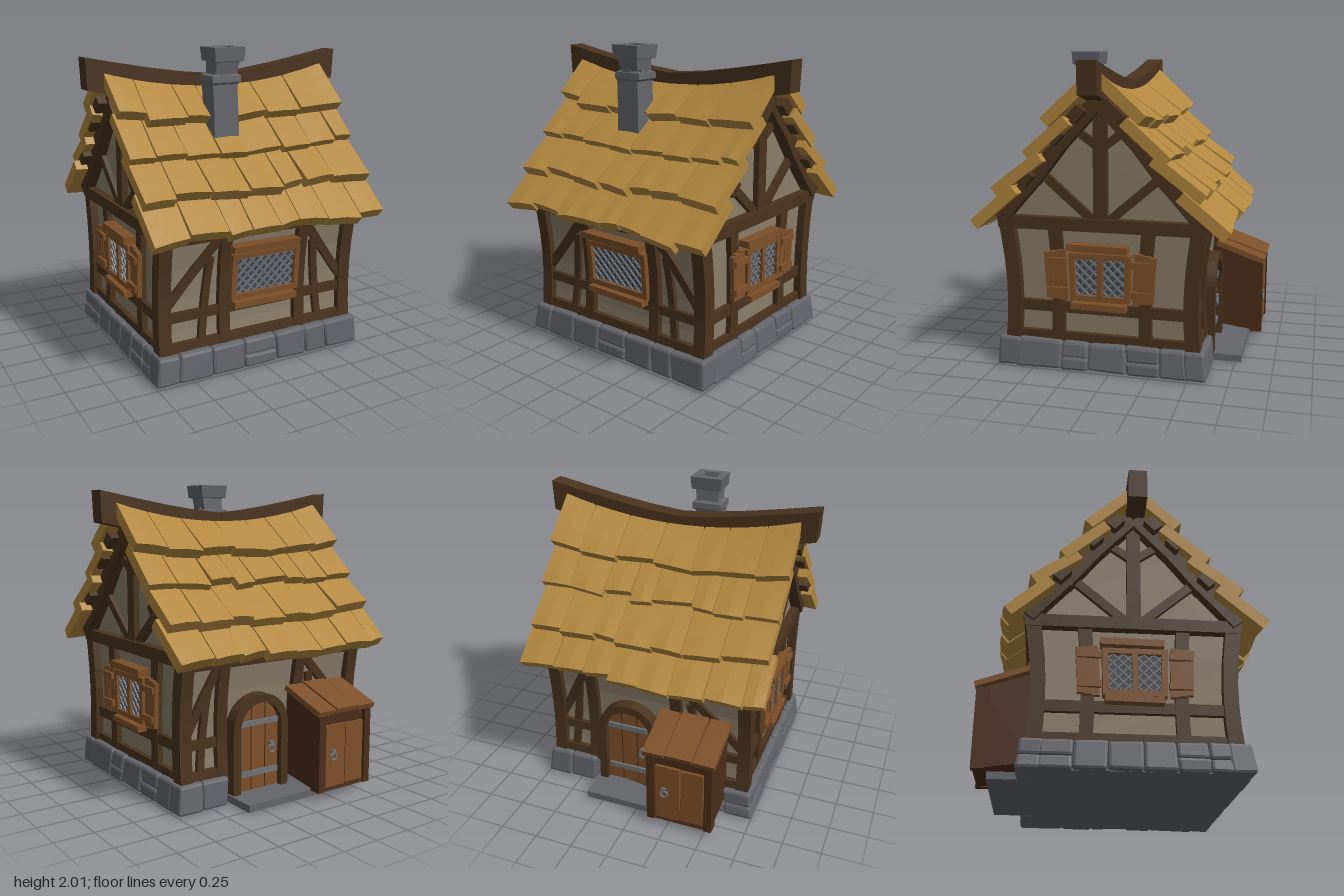
import * as THREE from 'three';
import { mergeGeometries } from 'three/addons/utils/BufferGeometryUtils.js';
import { RoundedBoxGeometry } from 'three/addons/geometries/RoundedBoxGeometry.js';

const CZ = 0.06; // centre line of the house in z
const mat = (color) => new THREE.MeshStandardMaterial({ color, flatShading: true, side: THREE.DoubleSide });
const M = {
  timber: mat(0x49331f), wood: mat(0x7d5029), darkWood: mat(0x4b2d1a), plaster: mat(0x8a7d69),
  stone: mat(0x63656a), thatch: mat(0xb2873f), iron: mat(0x6f7378), pane: mat(0x42464b),
};
let seed = 7;
const rnd = (a = 0, b = 1) => { seed = (seed * 16807) % 2147483647; return a + (b - a) * seed / 2147483647; };
const lerp = THREE.MathUtils.lerp;

function add(parent, name, material, geos) {
  const list = [].concat(geos).map((g) => (g.index ? g.toNonIndexed() : g));
  const mesh = new THREE.Mesh(mergeGeometries(list), material);
  mesh.geometry.computeVertexNormals();
  mesh.name = name;
  parent.add(mesh);
}
function mapVerts(g, fn) {
  const p = g.attributes.position, v = new THREE.Vector3();
  for (let i = 0; i < p.count; i++) { fn(v.fromBufferAttribute(p, i)); p.setXYZ(i, v.x, v.y, v.z); }
  return g;
}
const box = (x0, x1, y0, y1, z0, z1) =>
  new THREE.BoxGeometry(x1 - x0, y1 - y0, z1 - z0).translate((x0 + x1) / 2, (y0 + y1) / 2, (z0 + z1) / 2);
// walls pinch in at mid height and lean out towards the eaves
const warp = (g) => mapVerts(g, (v) => {
  const y = Math.min(v.y, 0.95);
  v.z += (v.z - CZ) * 0.36 * (y - 0.45) ** 2;
});
// straight timber between two points of a wall plane
const beam = (u1, v1, u2, v2, w, t, out = 0) =>
  new THREE.BoxGeometry(w, Math.hypot(u2 - u1, v2 - v1), t, 1, 6, 1)
    .rotateZ(-Math.atan2(u2 - u1, v2 - v1)).translate((u1 + u2) / 2, (v1 + v2) / 2, out);
// wall planes: front, back, and the two gables
const faces = {
  front: (g) => warp(g.translate(0, 0, 0.585 + CZ)),
  back: (g) => warp(g.rotateY(Math.PI).translate(0, 0, CZ - 0.585)),
  left: (g) => warp(g.rotateY(Math.PI / 2).translate(0.665, 0, CZ)),
  right: (g) => warp(g.rotateY(-Math.PI / 2).translate(-0.665, 0, CZ)),
};
// diagonal leading, clipped to a rectangle
function lattice(u0, u1, v0, v1, step, out) {
  const bars = [], h = v1 - v0;
  for (let c = u0 - h + step / 2; c < u1; c += step) {
    const a = Math.max(u0, c), b = Math.min(u1, c + h);
    if (b - a < 0.02) continue;
    bars.push(beam(a, v0 + a - c, b, v0 + b - c, 0.011, 0.012, out));
    bars.push(beam(a, v1 - (a - c), b, v1 - (b - c), 0.011, 0.012, out + 0.006));
  }
  return bars;
}

function buildWalls(g) {
  const half = [[0.575, 0.1], [0.575, 0.3], [0.575, 0.5], [0.575, 0.7], [0.575, 0.95], [0.54, 1.06], [0.4, 1.25], [0.22, 1.46]];
  const pts = [...half, [0, 1.66], ...half.map(([d, y]) => [-d, y]).reverse()].map(([d, y]) => new THREE.Vector2(d, y));
  add(g, 'plasterWalls', M.plaster, warp(new THREE.ExtrudeGeometry(new THREE.Shape(pts), { depth: 1.31, bevelEnabled: false })
    .rotateY(Math.PI / 2).translate(-0.655, 0, CZ)));
  const posts = [];
  for (const x of [-1, 1]) for (const s of [-1, 1])
    posts.push(warp(new THREE.BoxGeometry(0.085, 0.82, 0.09, 1, 6, 1).translate(x * 0.667, 0.56, CZ + s * 0.572)));
  add(g, 'cornerPosts', M.timber, posts);

  // long walls
  for (const name of ['front', 'back']) {
    const t = [beam(-0.66, 0.91, 0.66, 0.91, 0.08, 0.06)];
    const p = name === 'front' ? [-0.255, 0.305] : [-0.4, 0.2];
    if (name === 'front') t.push(beam(-0.65, 0.205, 0.65, 0.205, 0.06, 0.05), beam(-0.25, 0.4, 0.3, 0.4, 0.06, 0.045));
    p.forEach((u, i) => {
      const s = i ? 1 : -1;
      t.push(beam(u, 0.16, u, 0.9, 0.075, 0.06), beam(u, 0.4, s * 0.65, 0.4, 0.06, 0.045),
        beam(u, 0.205, s * 0.65, 0.205, 0.06, 0.05),
        beam(u + s * 0.03, 0.89, s * 0.64, 0.48, 0.055, 0.04), beam(u + s * 0.16, 0.2, u + s * 0.1, 0.76, 0.05, 0.035));
    });
    add(g, name + 'Timbers', M.timber, t.map(faces[name]));
  }

  // gable walls with rafters, king post and struts
  for (const name of ['left', 'right']) {
    const t = [beam(-0.62, 0.94, 0.62, 0.94, 0.08, 0.08, 0.01), beam(-0.56, 0.395, 0.56, 0.395, 0.07, 0.045),
      beam(-0.56, 0.2, 0.56, 0.2, 0.06, 0.05), beam(0, 0.96, 0, 1.7, 0.08, 0.06)];
    for (const s of [-1, 1]) {
      t.push(beam(s * 0.28, 0.18, s * 0.28, 0.92, 0.08, 0.055), beam(s * 0.05, 0.97, s * 0.37, 1.27, 0.055, 0.045),
        beam(s * 0.01, 1.42, s * 0.15, 1.53, 0.05, 0.04),
        beam(s * 0.01, 1.7, s * 0.22, 1.45, 0.09, 0.1, 0.02), beam(s * 0.2, 1.48, s * 0.4, 1.2, 0.09, 0.1, 0.02),
        beam(s * 0.385, 1.225, s * 0.6, 0.96, 0.09, 0.1, 0.02));
      for (const [d, y] of [[0.415, 1.23], [0.235, 1.49], [0.11, 1.63]])
        t.push(beam(s * (d - 0.03), y + 0.035, s * (d + 0.03), y - 0.035, 0.065, 0.2, 0.03));
    }
    add(g, name + 'GableTimbers', M.timber, t.map(faces[name]));
  }
}

function buildWindows(g) {
  for (const name of ['left', 'right', 'front']) {
    const w = new THREE.Group(), f = faces[name], side = name !== 'front';
    w.name = name + 'Window';
    const a = side ? -0.19 : -0.22, b = side ? 0.19 : 0.27;
    const frame = [beam(a - 0.01, 0.8, b - 0.02, 0.795, 0.045, 0.08, 0.04), beam(a + 0.01, 0.43, b - 0.02, 0.425, 0.04, 0.09, 0.04),
      beam(a, 0.745, b, 0.745, 0.035, 0.06, 0.03), beam(a, 0.475, b, 0.475, 0.035, 0.06, 0.03),
      beam(a + 0.015, 0.46, a + 0.015, 0.76, 0.035, 0.065, 0.03), beam(b - 0.015, 0.46, b - 0.015, 0.76, 0.035, 0.065, 0.03)];
    if (side) frame.push(beam(0, 0.47, 0, 0.75, 0.035, 0.06, 0.03));
    add(w, 'frame', M.wood, frame.map(f));
    add(w, 'pane', M.pane, f(beam((a + b) / 2, 0.47, (a + b) / 2, 0.75, b - a, 0.03, 0.015)));
    const bars = side
      ? [...lattice(-0.16, -0.02, 0.49, 0.73, 0.06, 0.036), ...lattice(0.02, 0.16, 0.49, 0.73, 0.06, 0.036)]
      : lattice(a + 0.03, b - 0.03, 0.49, 0.73, 0.06, 0.036);
    add(w, 'leading', M.iron, bars.map(f));
    if (side) {
      const sh = [];
      for (const s of [-1, 1]) {
        [0.235, 0.285, 0.32].forEach((u, i) => sh.push(beam(s * u, 0.455 + i * 0.006, s * (u + 0.004), 0.775 - i * 0.008, 0.05, 0.03, 0.04 + i * 0.004)));
        for (const v of [0.52, 0.71]) sh.push(beam(s * 0.2, v, s * 0.34, v, 0.04, 0.025, 0.065));
      }
      add(w, 'shutters', M.wood, sh.map(f));
    }
    g.add(w);
  }
}

function buildFoundation(g) {
  const stones = [], taper = (q) => mapVerts(q, (v) => { const k = 1 - 0.16 * Math.max(0, v.y - 0.02); v.x *= k; v.z = CZ + (v.z - CZ) * k; });
  const stone = (x, y, z, sx, sy, sz) => {
    const q = new RoundedBoxGeometry(sx, sy, sz, 1, 0.018), a = rnd(-0.12, 0.12), b = rnd(-0.1, 0.1);
    mapVerts(q, (v) => { v.x *= 1 + a * v.y / sy; v.z *= 1 + a * v.y / sy; v.y *= 1 + b * (v.x / sx + v.z / sz); });
    stones.push(taper(q.translate(x, y, z)));
  };
  const run = (a, b, put, skip) => {
    for (let u = a; u < b - 0.02;) {
      let w = rnd(0.15, 0.26);
      if (b - u - w < 0.12) w = b - u;
      if (!skip || u + w < skip[0] || u > skip[1]) {
        if (rnd() < 0.4) { put(u + w / 2, 0.13, w, 0.1); put(u + w / 2, 0.04, w, 0.085); } else put(u + w / 2, 0.09, w, 0.18);
      }
      u += w;
    }
  };
  run(-0.75, 0.75, (u, y, w, h) => stone(u, y, 0.675, w, h, 0.15));
  run(-0.75, 0.75, (u, y, w, h) => stone(u, y, -0.55, w, h, 0.14), [-0.1, 0.34]);
  for (const s of [-1, 1]) run(-0.5, 0.62, (u, y, w, h) => stone(s * 0.675, y, u, 0.15, h, w));
  add(g, 'foundationStones', M.stone, stones);
  add(g, 'foundationCore', M.stone, [box(-0.71, 0.71, 0, 0.165, -0.53, 0.71), box(-0.5, 0.36, 0, 0.045, -0.79, -0.5)]);
}

function buildRoof(g) {
  // each row: d0, y0, d1, y1, sag at top, sag at bottom
  const rows = [[0.05, 1.87, 0.31, 1.62, 0.12, 0.055], [0.2, 1.62, 0.46, 1.39, 0.06, 0.025],
    [0.37, 1.4, 0.67, 1.175, 0.03, 0.01], [0.54, 1.19, 0.82, 0.945, 0.01, -0.015]];
  for (const s of [1, -1]) rows.forEach(([d0, y0, d1, y1, s0, s1], r) => {
    const tiles = [], len = Math.hypot(d1 - d0, y0 - y1), nd = (y0 - y1) / len, ny = (d1 - d0) / len, end = rnd(0.8, 0.825);
    for (let x = -end; x < end - 0.01;) {
      let w = rnd(0.15, 0.27);
      if (end - x - w < 0.13) w = end - x;
      const lift = rnd(-0.006, 0.012), ext = rnd(-0.03, 0.02), skew = rnd(-0.025, 0.025), flare = rnd(-0.008, 0.008), x0 = x;
      tiles.push(mapVerts(new THREE.BoxGeometry(1, 1, 1, 2, 3, 1), (v) => {
        const t = 0.5 - v.y, u = v.x + 0.5, k = t * (1 + (ext + skew * v.x) / len);
        const px = x0 + 0.003 + u * (w - 0.006) + v.x * flare * t * 2;
        const out = (v.z - 0.5) * 0.072 + lift * t + (v.z > 0 ? 0.008 * Math.sin(u * 3.14) * t : 0);
        const sag = lerp(s0, s1, t) * (1 - Math.min(1, (px / 0.82) ** 2));
        v.set(s * px, lerp(y0, y1, k) - sag + ny * out, CZ + s * (lerp(d0, d1, k) + nd * out));
      }));
      x += w;
    }
    add(g, (s > 0 ? 'front' : 'back') + 'RoofRow' + (r + 1), M.thatch, tiles);
  });
  add(g, 'ridgeBeam', M.timber, mapVerts(new THREE.BoxGeometry(1.82, 0.2, 0.12, 8, 1, 1), (v) => {
    const a = Math.abs(v.x);
    if (a > 0.9 && v.y > 0) v.x *= 1.01;
    v.y += 1.705 + 0.14 * (a / 0.91) ** 1.35;
    v.z += 0.07;
  }));
}

function buildChimney(g) {
  // square sections from bottom to rim and down into the flue: x, z, half x, half z, y
  const secs = [[-0.105, 0.345, 0.088, 0.085, 1.44], [-0.108, 0.35, 0.086, 0.075, 1.6], [-0.115, 0.345, 0.086, 0.075, 1.77],
    [-0.108, 0.345, 0.102, 0.085, 1.785], [-0.108, 0.345, 0.1, 0.083, 1.825], [-0.105, 0.35, 0.076, 0.065, 1.835],
    [-0.1, 0.36, 0.08, 0.07, 1.91], [-0.1, 0.36, 0.1, 0.093, 1.915], [-0.1, 0.358, 0.108, 0.1, 2],
    [-0.1, 0.358, 0.058, 0.05, 2], [-0.1, 0.358, 0.045, 0.038, 1.92], [-0.1, 0.358, 0, 0, 1.92]];
  const pos = [], idx = [], c = [[-1, 1], [1, 1], [1, -1], [-1, -1]];
  secs.forEach(([x, z, hx, hz, y], i) => c.forEach(([a, b], j) => {
    pos.push(x + a * hx, y, z + b * hz);
    if (i) { const p = (i - 1) * 4, k = (j + 1) % 4; idx.push(p + j, p + k, p + 4 + k, p + j, p + 4 + k, p + 4 + j); }
  }));
  const q = new THREE.BufferGeometry().setAttribute('position', new THREE.Float32BufferAttribute(pos, 3));
  q.setIndex(idx);
  add(g, 'chimney', M.stone, q);
  add(g, 'chimneyBricks', M.stone, [box(-0.15, -0.08, 1.79, 1.84, 0.4, 0.425), box(-0.05, -0.015, 1.8, 1.85, 0.33, 0.4)]);
}

function buildDoor(g) {
  const door = new THREE.Group();
  door.name = 'archedDoor';
  const arch = (r, y0) => { const s = new THREE.Shape(); s.moveTo(-r, y0); s.lineTo(r, y0); s.absarc(0, 0.46, r, 0, Math.PI); s.lineTo(-r, y0); return s; };
  const frame = arch(0.215, 0.04);
  frame.holes.push(arch(0.16, 0.045));
  const solid = (s, depth, z) => new THREE.ExtrudeGeometry(s, { depth, bevelEnabled: false, curveSegments: 10 }).rotateY(Math.PI).translate(0.13, 0, z);
  add(door, 'doorFrame', M.timber, solid(frame, 0.1, -0.51));
  add(door, 'doorLeaf', M.wood, solid(arch(0.165, 0.045), 0.05, -0.52));
  add(door, 'doorGaps', M.darkWood, [-0.055, 0.055].map((u) => box(0.127 + u, 0.133 + u, 0.05, 0.6, -0.573, -0.56)));
  add(door, 'doorIron', M.iron, [box(-0.02, 0.28, 0.47, 0.505, -0.585, -0.56), box(-0.02, 0.28, 0.14, 0.175, -0.585, -0.56),
    new THREE.TorusGeometry(0.026, 0.007, 5, 10).translate(0.03, 0.3, -0.587), box(0.015, 0.045, 0.31, 0.345, -0.595, -0.56)]);
  g.add(door);
}

function buildShed(g) {
  const shed = new THREE.Group();
  shed.name = 'leanToShed';
  const side = new THREE.Shape([[0.54, 0.09], [0.87, 0.045], [0.845, 0.3], [0.855, 0.545], [0.54, 0.655]].map(([a, b]) => new THREE.Vector2(a, b)));
  add(shed, 'shedBody', M.darkWood, new THREE.ExtrudeGeometry(side, { depth: 0.42, bevelEnabled: false }).rotateY(Math.PI / 2).translate(-0.55, 0, 0));
  add(shed, 'shedDoor', M.wood, [box(-0.5, -0.35, 0.075, 0.47, -0.872, -0.83), box(-0.342, -0.18, 0.07, 0.475, -0.874, -0.83)]);
  add(shed, 'shedFrame', M.darkWood, [box(-0.56, -0.51, 0.045, 0.55, -0.88, -0.8), box(-0.17, -0.12, 0.045, 0.55, -0.88, -0.8)]);
  add(shed, 'shedRoof', M.wood, [[-0.51, 0.14], [-0.34, 0.18], [-0.17, 0.14]].map(([x, w], i) =>
    new THREE.BoxGeometry(w, 0.035, 0.35).rotateX(-0.34).rotateY((i - 1) * 0.015).translate(x, 0.62 + (i % 2) * 0.006, -0.725)));
  add(shed, 'shedHandle', M.iron, [new THREE.TorusGeometry(0.025, 0.007, 5, 10).translate(-0.24, 0.27, -0.88), box(-0.255, -0.225, 0.28, 0.315, -0.885, -0.86)]);
  g.add(shed);
}

export function createModel() {
  const g = new THREE.Group();
  g.name = 'cottage';
  seed = 7;
  [buildFoundation, buildWalls, buildWindows, buildRoof, buildChimney, buildDoor, buildShed].forEach((build) => build(g));
  return g;
}
